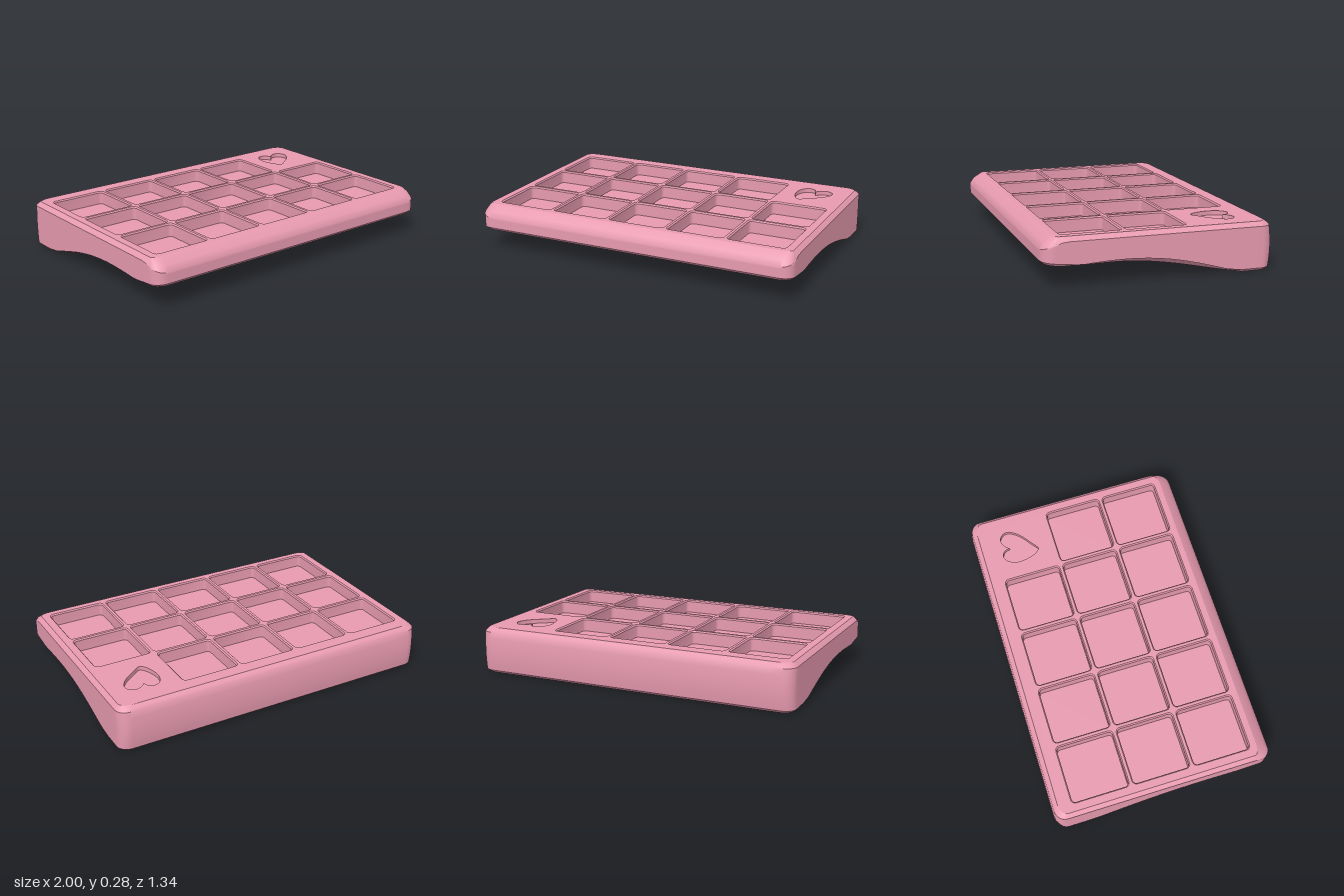
import * as THREE from 'three';
import { toCreasedNormals } from 'three/addons/utils/BufferGeometryUtils.js';

const TOP = 0.28, CREASE = -0.48;
const material = new THREE.MeshStandardMaterial({ color: 0xe79ab0 });

// Rounded rectangle in (x, z), counter-clockwise, with sides split into steps
function roundedRect(cx, cz, hw, hd, r, arc, steps) {
  const corners = [[1, 1], [-1, 1], [-1, -1], [1, -1]];
  const pts = [];
  corners.forEach(([sx, sz], i) => {
    for (let k = 0; k <= arc; k++) {
      const a = (i + k / arc) * Math.PI / 2;
      pts.push(new THREE.Vector2(cx + sx * (hw - r) + r * Math.cos(a), cz + sz * (hd - r) + r * Math.sin(a)));
    }
    const a = pts[pts.length - 1];
    const [nx, nz] = corners[(i + 1) % 4];
    const e = (i + 1) * Math.PI / 2;
    const b = new THREE.Vector2(cx + nx * (hw - r) + r * Math.cos(e), cz + nz * (hd - r) + r * Math.sin(e));
    for (let k = 1; k < steps; k++) pts.push(a.clone().lerp(b, k / steps));
  });
  return pts;
}

function circle(cx, cz, r, n = 32) {
  return Array.from({ length: n }, (_, i) => {
    const a = i / n * Math.PI * 2;
    return new THREE.Vector2(cx + r * Math.cos(a), cz + r * Math.sin(a));
  });
}

// Skin over closed rings; faces outward going up, inward going down
function loft(name, rings) {
  const pos = [], n = rings[0].length;
  for (let i = 0; i + 1 < rings.length; i++) {
    for (let j = 0; j < n; j++) {
      const k = (j + 1) % n;
      const [a, b, c, d] = [rings[i][j], rings[i][k], rings[i + 1][j], rings[i + 1][k]];
      for (const p of [a, c, b, b, c, d]) pos.push(p.x, p.y, p.z);
    }
  }
  const g = new THREE.BufferGeometry();
  g.setAttribute('position', new THREE.Float32BufferAttribute(pos, 3));
  return named(name, toCreasedNormals(g, 0.6));
}

// Flat-triangulated sheet with holes, laid at height yAt(z)
function sheet(name, outline, holes, yAt, up) {
  const shape = new THREE.Shape(outline);
  shape.holes = holes.map(h => new THREE.Path(h));
  const g = new THREE.ShapeGeometry(shape);
  const p = g.attributes.position;
  for (let i = 0; i < p.count; i++) {
    const x = p.getX(i), z = p.getY(i);
    p.setXYZ(i, x, yAt(z), z);
  }
  if (up) g.setIndex(Array.from(g.index.array).reverse());
  g.computeVertexNormals();
  return named(name, g);
}

function named(name, geometry) {
  const m = new THREE.Mesh(geometry, material);
  m.name = name;
  return m;
}

const lift = (pts, yAt) => pts.map(p => new THREE.Vector3(p.x, yAt(p.y), p.y));

// Sloping underside, and the finger scoop along each side
const baseY = z => Math.max(0, 0.13 * (z - CREASE) / 1.13);
const scoop = z => Math.sin(Math.PI * THREE.MathUtils.clamp((0.55 - z) / 1.03, 0, 1));
const scoopRise = z => 0.065 * Math.max(0, scoop(z)) ** 1.1;
const scoopReach = z => 0.17 * Math.max(0, scoop(z)) ** 1.5;

export function createModel() {
  const group = new THREE.Group();
  group.name = 'keypadCase';
  const outer = roundedRect(0, 0, 1, 0.67, 0.07, 8, 30);
  const frontness = z => THREE.MathUtils.clamp((z - 0.55) / 0.12, 0, 1);

  // Outline pulled in by separate amounts at the sides, front and back
  const inset = (side, front, back, yAt) => outer.map(p => {
    const k = Math.max(0, (Math.abs(p.y) - 0.55) / 0.12);
    const z = p.y - Math.sign(p.y) * k * (p.y > 0 ? front : back);
    return new THREE.Vector3(p.x * (1 - side), yAt(p.y, z), z);
  });

  // Underside band with scoops, from the flat base out to the edge
  const rings = [];
  const bands = 8;
  for (let i = 0; i <= bands; i++) {
    const t = i / bands, e = 0.018 + 0.01 * (1 - t);
    const ring = inset(e, e, e + 0.01, (z0, z) => baseY(z) + scoopRise(z) * t ** 1.4);
    ring.forEach(p => {
      if (Math.abs(p.x) > 0.9) p.x -= Math.sign(p.x) * scoopReach(p.z) * (1 - t);
    });
    rings.push(ring);
  }
  const base = rings[0].map(p => new THREE.Vector2(p.x, p.z));

  // Walls with a gently bowed back, then the top bevel
  const wallLow = z => baseY(z) + Math.max(0.016, scoopRise(z));
  const wallHigh = z => 0.255 - 0.042 * frontness(z);
  for (let i = 0; i <= 6; i++) {
    const t = i / 6;
    rings.push(inset(0, 0, 0.011 * (2 * t - 1) ** 2,
      z => THREE.MathUtils.lerp(wallLow(z), wallHigh(z), t)));
  }
  rings.push(inset(0.012, 0.022, 0.023, z => 0.268 - 0.021 * frontness(z)));
  rings.push(inset(0.025, 0.073, 0.04, () => TOP));
  group.add(loft('shell', rings));
  const rim = rings[rings.length - 1].map(p => new THREE.Vector2(p.x, p.z));

  // Key pockets: five columns, three rows, back left corner kept for the heart
  const topHoles = [];
  const depth = 0.08;
  for (let row = 0; row < 3; row++) {
    for (let col = 0; col < 5; col++) {
      if (row === 0 && col === 4) continue;
      const x = (col - 2) * 0.375, z = 0.005 + (row - 1) * 0.375;
      const edge = roundedRect(x, z, 0.179, 0.179, 0.028, 4, 1);
      const inner = roundedRect(x, z, 0.172, 0.172, 0.022, 4, 1);
      topHoles.push(edge);
      const pocket = new THREE.Group();
      pocket.name = 'keyPocket';
      pocket.add(
        loft('pocketWalls', [lift(edge, () => TOP), lift(inner, () => TOP - 0.008), lift(inner, () => TOP - depth)]),
        sheet('pocketFloor', inner, [], () => TOP - depth, true));
      group.add(pocket);
    }
  }

  // Shallow tilted heart
  const heartShape = new THREE.Shape();
  heartShape.moveTo(0.70, -0.285);
  heartShape.bezierCurveTo(0.67, -0.30, 0.655, -0.36, 0.65, -0.41);
  heartShape.bezierCurveTo(0.65, -0.47, 0.68, -0.51, 0.715, -0.51);
  heartShape.bezierCurveTo(0.745, -0.505, 0.758, -0.48, 0.758, -0.458);
  heartShape.bezierCurveTo(0.78, -0.49, 0.81, -0.505, 0.84, -0.495);
  heartShape.bezierCurveTo(0.87, -0.48, 0.88, -0.445, 0.86, -0.415);
  heartShape.bezierCurveTo(0.83, -0.36, 0.77, -0.33, 0.74, -0.305);
  heartShape.bezierCurveTo(0.725, -0.292, 0.71, -0.28, 0.70, -0.285);
  const heart = heartShape.getPoints(8).slice(0, -1);
  if (THREE.ShapeUtils.isClockWise(heart)) heart.reverse();
  topHoles.push(heart);
  group.add(
    loft('heartWalls', [lift(heart, () => TOP), lift(heart, () => TOP - 0.025)]),
    sheet('heartFloor', heart, [], () => TOP - 0.025, true),
    sheet('topFace', rim, topHoles, () => TOP, true));

  // Round foot recesses in the sloping base
  const feet = [];
  for (const side of [-1, 1]) {
    for (const [x, z] of [[0.865, 0.52], [0.78, -0.35]]) {
      const foot = circle(side * x, z, 0.068);
      const raised = q => baseY(q) + 0.012;
      feet.push(foot);
      group.add(
        loft('footRecessWall', [lift(foot, raised), lift(foot, baseY)]),
        sheet('footRecess', foot, [], raised, false));
    }
  }

  // Base plates either side of the crease
  const eps = 1e-4;
  group.add(
    sheet('slopingBase', base.filter(p => p.y > CREASE - eps), feet, baseY, false),
    sheet('flatBase', base.filter(p => p.y < CREASE + eps), [], baseY, false));
  return group;
}
